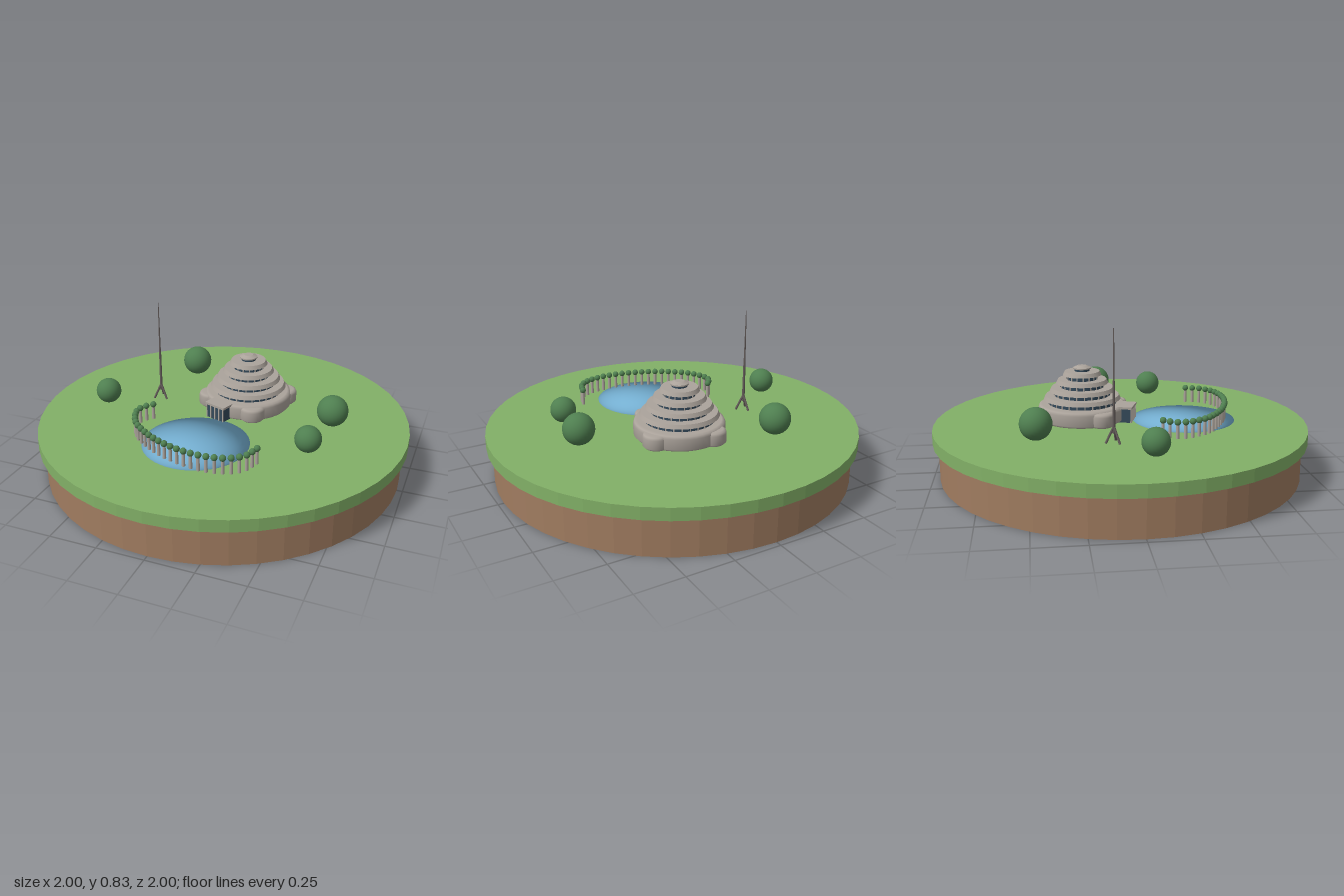
import * as THREE from 'three';

const mat = (name, color, extra = {}) => {
  const m = new THREE.MeshStandardMaterial({ color, ...extra });
  m.name = name;
  return m;
};

const GROUND = 0.265;

export function createModel() {
  const root = new THREE.Group();
  root.name = 'islandWithPavilion';
  const grass = mat('grass', 0x82b067, { flatShading: true });
  const earth = mat('earth', 0xa07c60, { flatShading: true });
  const water = mat('water', 0x74aed0);
  const stone = mat('stone', 0xaba39b);
  const glass = mat('glass', 0x34495a);
  const leaf = mat('foliage', 0x4f7f50);
  const metal = mat('metal', 0x645c5a);

  const add = (parent, name, geo, material, x = 0, y = 0, z = 0) => {
    const m = new THREE.Mesh(geo, material);
    m.name = name;
    m.position.set(x, y, z);
    parent.add(m);
    return m;
  };
  const group = (name, x = 0, y = 0, z = 0) => {
    const g = new THREE.Group();
    g.name = name;
    g.position.set(x, y, z);
    root.add(g);
    return g;
  };
  const cyl = (rTop, rBottom, h, n = 40) => new THREE.CylinderGeometry(rTop, rBottom, h, n);
  // tapered rod between two points
  const rod = (parent, name, a, b, ra, rb, material) => {
    const d = b.clone().sub(a);
    const m = add(parent, name, cyl(rb, ra, d.length(), 8), material);
    m.position.copy(a).addScaledVector(d, 0.5);
    m.quaternion.setFromUnitVectors(new THREE.Vector3(0, 1, 0), d.normalize());
  };

  // ground
  add(root, 'earthBase', cyl(0.97, 0.97, 0.2, 48), earth, 0, 0.1, 0);
  add(root, 'lawn', cyl(1, 1, 0.065, 48), grass, 0, 0.2325, 0);

  // pond: a sphere pressed flat that keeps its round shading
  const pond = new THREE.SphereGeometry(0.278, 48, 12, 0, Math.PI * 2, 0, Math.PI / 2);
  const p = pond.attributes.position;
  for (let i = 0; i < p.count; i++) p.setY(i, p.getY(i) * 0.015);
  add(root, 'pond', pond, water, -0.02, GROUND + 0.001, 0.345);

  // terraced pavilion
  const pavilion = group('pavilion', 0.07, GROUND, -0.2);
  const bodyProfile = (r, h, bevel) => new THREE.LatheGeometry([
    [r - 0.012, 0], [r, 0.012], [r, h - bevel], [r - bevel * 0.3, h - bevel * 0.3],
    [r - bevel, h], [0, h],
  ].map(([x, y]) => new THREE.Vector2(x, y)), 40);
  add(pavilion, 'groundFloor', bodyProfile(0.24, 0.087, 0.02), stone);
  for (let i = 0; i < 4; i++) {
    const a = 0.45 + i * Math.PI / 2;
    add(pavilion, 'roundBay', bodyProfile(0.07, 0.078, 0.018), stone,
      -Math.cos(a) * 0.205, 0, Math.sin(a) * 0.205);
  }

  // each storey: glass drum, posts and overhanging slab
  const storey = (y, h, r, slab, posts) => {
    const glassR = r - Math.min(0.024, r * 0.2);
    add(pavilion, 'windowBand', cyl(glassR, glassR, h), glass, 0, y + h / 2, 0);
    add(pavilion, 'roofSlab', cyl(r - 0.01, r, slab), stone, 0, y + h - slab / 2 + 0.001, 0);
    for (let i = 0; i < posts; i++) {
      const a = i / posts * Math.PI * 2;
      const post = add(pavilion, 'windowPost', new THREE.BoxGeometry(0.006, h - slab, 0.006), stone,
        Math.sin(a) * glassR, y + (h - slab) / 2, Math.cos(a) * glassR);
      post.rotation.y = a;
    }
  };
  [0.21, 0.178, 0.142, 0.105].forEach((r, i) => storey(0.087 + i * 0.0435, 0.0435, r, 0.021, 28 - i * 4));
  add(pavilion, 'lanternWindow', cyl(0.04, 0.04, 0.018, 24), glass, 0, 0.268, 0);
  add(pavilion, 'lanternRim', cyl(0.049, 0.049, 0.007, 24), stone, 0, 0.278, 0);
  add(pavilion, 'lanternRoof', cyl(0.025, 0.049, 0.011, 24), stone, 0, 0.287, 0);

  // glazed entrance facing the pond
  const entrance = new THREE.Group();
  entrance.name = 'entrance';
  entrance.rotation.y = -0.34;
  pavilion.add(entrance);
  add(entrance, 'entranceGlass', new THREE.BoxGeometry(0.115, 0.075, 0.1), glass, 0, 0.0375, 0.235);
  add(entrance, 'entranceRoof', new THREE.BoxGeometry(0.13, 0.012, 0.11), stone, 0, 0.081, 0.235);
  for (let i = 0; i < 5; i++) {
    add(entrance, 'entrancePost', new THREE.BoxGeometry(0.007, 0.075, 0.007), stone,
      -0.056 + i * 0.028, 0.0375, 0.285);
  }

  // curved row of columns with clipped foliage on top
  const row = group('columnRow', 0, GROUND, 0);
  const path = new THREE.CatmullRomCurve3([
    [-0.34, 0.178], [-0.38, 0.23], [-0.385, 0.29], [-0.33, 0.4], [-0.25, 0.47], [-0.16, 0.525],
    [-0.05, 0.567], [0.06, 0.59], [0.16, 0.59], [0.25, 0.565], [0.31, 0.515], [0.34, 0.43],
  ].map(([x, z]) => new THREE.Vector3(x, 0, z)));
  path.getSpacedPoints(26).forEach(({ x, z }) => {
    add(row, 'column', cyl(0.008, 0.009, 0.08, 10), stone, x, 0.04, z);
    add(row, 'columnFoliage', new THREE.SphereGeometry(0.017, 14, 10), leaf, x, 0.085, z);
  });

  // mast on a tripod
  const mast = group('mast', -0.415, GROUND, -0.08);
  const V = (x, y, z) => new THREE.Vector3(x, y, z);
  rod(mast, 'lowerPole', V(0, 0.05, 0), V(0, 0.3, 0), 0.008, 0.006, metal);
  rod(mast, 'upperPole', V(0, 0.3, 0), V(0, 0.57, 0), 0.005, 0.002, metal);
  for (let i = 0; i < 3; i++) {
    const a = 0.35 + i * Math.PI * 2 / 3;
    rod(mast, 'tripodLeg', V(Math.cos(a) * 0.042, 0, Math.sin(a) * 0.042), V(0, 0.085, 0), 0.006, 0.006, metal);
  }

  // round trees
  [[-0.35, -0.46, 0.083], [0.585, -0.085, 0.083], [-0.66, 0.09, 0.069], [0.54, 0.233, 0.069]]
    .forEach(([x, z, r]) => add(root, 'roundTree', new THREE.SphereGeometry(r, 28, 18), leaf, x, GROUND + r * 1.1, z));

  return root;
}
